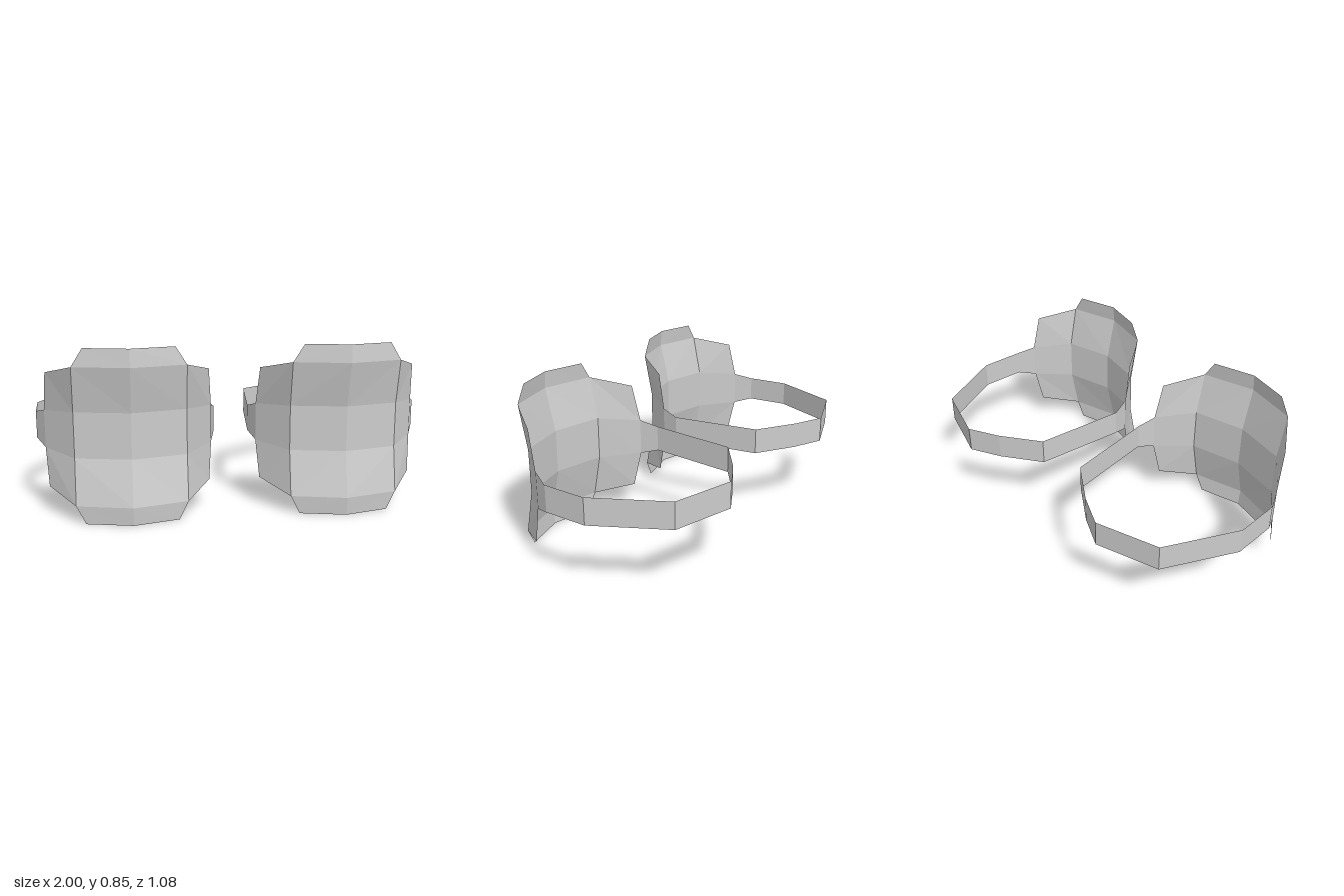
import * as THREE from 'three';

// Sheet lofted between cross-sections; every section is a list of [x, y, z] running upwards.
function sheet(name, sections, side, material) {
  const rows = sections[0].length;
  const index = [];
  for (let i = 0; i < sections.length - 1; i++) {
    for (let j = 0; j < rows - 1; j++) {
      const a = i * rows + j, b = a + rows;
      if (side > 0) index.push(a, b, b + 1, a, b + 1, a + 1);
      else index.push(a, b + 1, b, a, a + 1, b + 1);
    }
  }
  const points = sections.flat().flatMap(([x, y, z]) => [x * side, y, z]);
  let geometry = new THREE.BufferGeometry();
  geometry.setAttribute('position', new THREE.Float32BufferAttribute(points, 3));
  geometry.setIndex(index);
  geometry = geometry.toNonIndexed();
  geometry.computeVertexNormals();
  const mesh = new THREE.Mesh(geometry, material);
  mesh.name = name;
  return mesh;
}

function createPad(side, material) {
  const pad = new THREE.Group();
  pad.name = side > 0 ? 'leftPad' : 'rightPad';
  const cx = 0.525;

  // Curved front plate: edge half width, height, edge depth, middle depth
  const rows = [
    [0.225, 0, 0.475, 0.532],
    [0.27, 0.09, 0.47, 0.54],
    [0.27, 0.315, 0.425, 0.487],
    [0.27, 0.54, 0.425, 0.487],
    [0.27, 0.762, 0.47, 0.54],
    [0.215, 0.85, 0.475, 0.532],
  ];
  const edge = (s) => rows.map(([w, y, z]) => [cx + s * w, y, z]);
  const middle = rows.map(([, y, , z]) => [cx, y, z]);
  pad.add(sheet('frontPlate', [edge(-1), middle, edge(1)], side, material));

  // Side wings, wrapping back from the plate edges
  const wing = (xTall, xMid) => [
    [xTall, 0.14, 0.285], [xMid, 0.33, 0.245], [xMid, 0.52, 0.245], [xTall, 0.712, 0.285],
  ];
  const outer = wing(0.928, 0.942), inner = wing(0.13, 0.115);
  pad.add(sheet('outerWing', [edge(1).slice(1, 5), outer], side, material));
  pad.add(sheet('innerWing', [inner, edge(-1).slice(1, 5)], side, material));

  // Strap running round the back, tapering out of the wings
  const path = [
    [0.99, 0.15], [1, -0.08], [0.825, -0.44], [0.51, -0.54],
    [0.35, -0.46], [0.15, -0.32], [0.09, 0.15],
  ];
  const band = path.map(([x, z]) => [[x, 0.358, z], [x, 0.494, z]]);
  pad.add(sheet('strap', [outer.slice(1, 3), ...band, inner.slice(1, 3)], side, material));
  return pad;
}

export function createModel() {
  const grey = new THREE.MeshStandardMaterial({ color: 0xcccccc });
  grey.name = 'light grey';
  grey.side = THREE.DoubleSide;
  grey.flatShading = true;
  const model = new THREE.Group();
  model.name = 'strappedPads';
  for (const side of [1, -1]) model.add(createPad(side, grey));
  return model;
}
